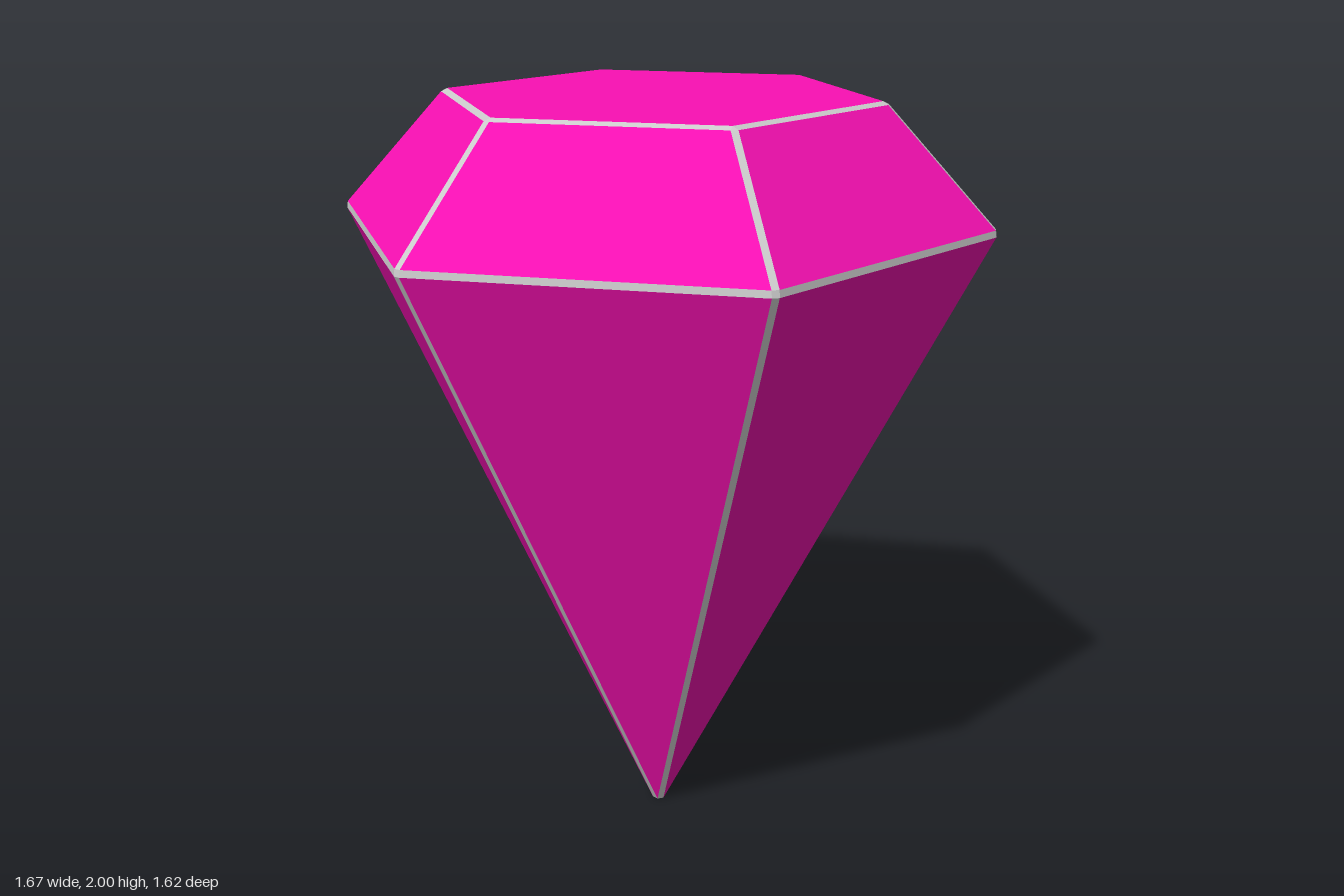
import * as THREE from 'three';

const BEVEL = 0.01; // half width of the edge strips
const CENTRE = new THREE.Vector3(0, 1.2, 0);

// Six corners of a hexagon at a given radius and height
function ring(radius, y) {
  return Array.from({ length: 6 }, (_, i) => {
    const a = THREE.MathUtils.degToRad(11.8 + 60 * i);
    return new THREE.Vector3(radius * Math.cos(a), y, radius * Math.sin(a));
  });
}

// Shrinks a facet in its own plane, by the same distance from every edge
function inset(points) {
  const n = points.length;
  return points.map((v, i) => {
    const a = points[(i + n - 1) % n].clone().sub(v).normalize();
    const b = points[(i + 1) % n].clone().sub(v).normalize();
    return a.clone().add(b).multiplyScalar(BEVEL / Math.sin(a.angleTo(b))).add(v);
  });
}

// Mesh from convex polygons, each turned to face away from the centre
function polygonMesh(name, polygons, color) {
  const positions = [];
  for (const poly of polygons) {
    for (let i = 1; i < poly.length - 1; i++) {
      const tri = [poly[0], poly[i], poly[i + 1]];
      const normal = tri[1].clone().sub(tri[0]).cross(tri[2].clone().sub(tri[0]));
      if (normal.dot(tri[0].clone().sub(CENTRE)) < 0) tri.reverse();
      tri.forEach((p) => positions.push(p.x, p.y, p.z));
    }
  }
  const geometry = new THREE.BufferGeometry();
  geometry.setAttribute('position', new THREE.Float32BufferAttribute(positions, 3));
  geometry.computeVertexNormals();
  const mesh = new THREE.Mesh(geometry, new THREE.MeshStandardMaterial({ color, flatShading: true }));
  mesh.name = name;
  return mesh;
}

export function createModel() {
  // Sharp corners: 0-5 table, 6-11 girdle, 12 tip
  const corners = [...ring(0.57, 2), ...ring(0.86, 1.69), new THREE.Vector3(0, -0.041, 0)];
  const table = [[0, 1, 2, 3, 4, 5]];
  const crown = [], pavilion = [];
  for (let i = 0; i < 6; i++) {
    const j = (i + 1) % 6;
    crown.push([j, i, 6 + i, 6 + j]);
    pavilion.push([6 + j, 6 + i, 12]);
  }

  // Inset facets, noting the points that meet at each edge and corner
  const edges = new Map();
  const caps = corners.map(() => []);
  const facets = (faces) => faces.map((face) => {
    const points = inset(face.map((k) => corners[k]));
    face.forEach((k, i) => {
      const j = (i + 1) % face.length, m = face[j];
      caps[k].push(points[i]);
      const key = `${Math.min(k, m)}-${Math.max(k, m)}`;
      if (!edges.has(key)) edges.set(key, []);
      edges.get(key).push(k < m ? [points[i], points[j]] : [points[j], points[i]]);
    });
    return points;
  });

  const pink = 0xfa10b4;
  const group = new THREE.Group();
  group.name = 'gem';
  group.add(
    polygonMesh('tableFacet', facets(table), pink),
    polygonMesh('crownFacets', facets(crown), pink),
    polygonMesh('pavilionFacets', facets(pavilion), pink)
  );

  // Grey strips along the edges
  const strips = [...edges.values()].map(([a, b]) => [a[0], a[1], b[1], b[0]]);

  // Small caps closing the corners, points sorted around the outward axis
  caps.forEach((points, k) => {
    const axis = corners[k].clone().sub(CENTRE).normalize();
    const u = new THREE.Vector3(0.31, 0.17, 0.93).cross(axis).normalize();
    const v = axis.clone().cross(u);
    const angle = (p) => {
      const d = p.clone().sub(corners[k]);
      return Math.atan2(d.dot(v), d.dot(u));
    };
    points.sort((p, q) => angle(p) - angle(q));
  });
  group.add(polygonMesh('bevelledEdges', [...strips, ...caps], 0xcccccc));
  return group;
}
